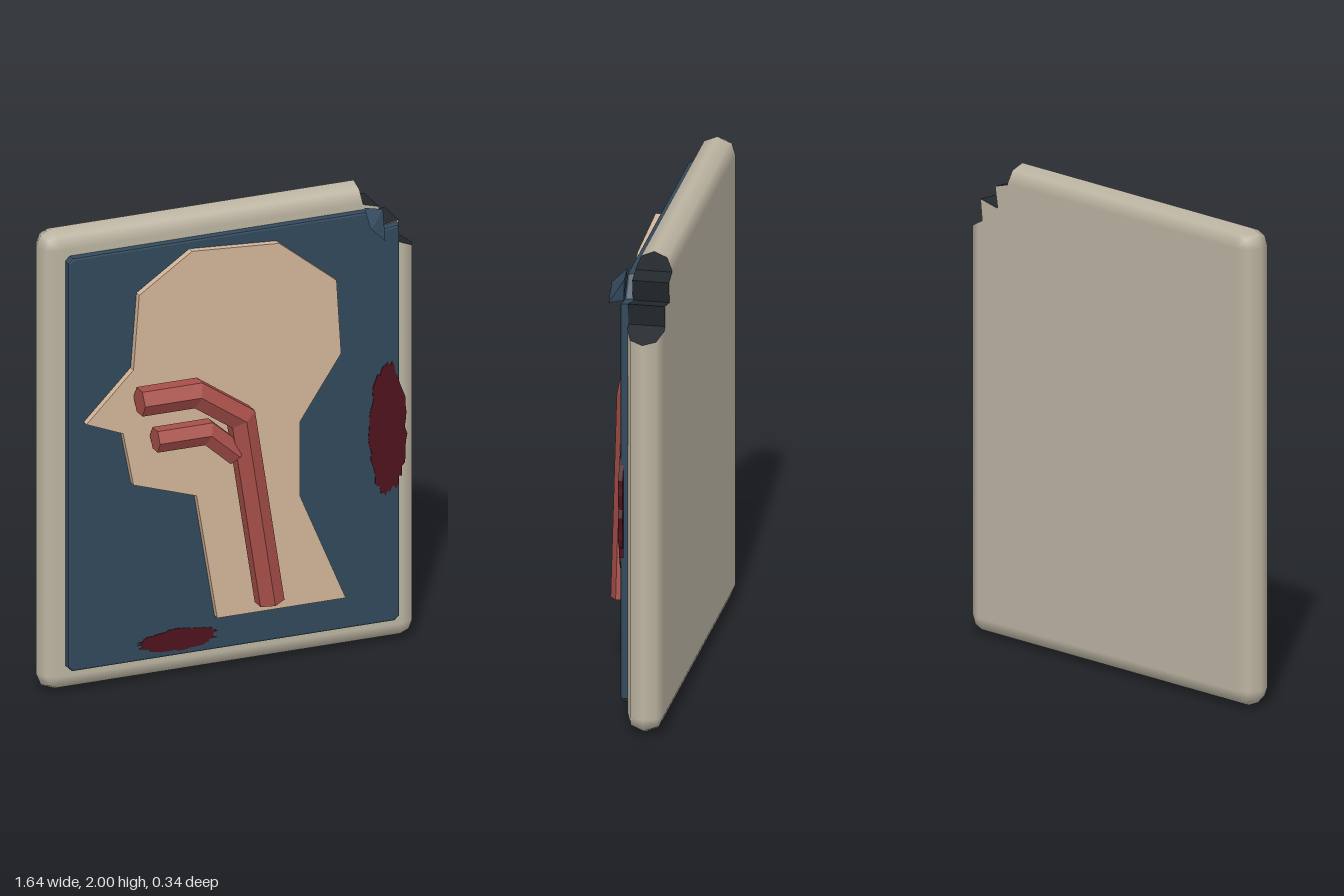
import * as THREE from 'three';
import { ConvexGeometry } from 'three/addons/geometries/ConvexGeometry.js';

const mat = (color, flat = true, extra = {}) =>
  new THREE.MeshStandardMaterial({ color, flatShading: flat, ...extra });
const shapeOf = (pts) => new THREE.Shape(pts.map(([x, y]) => new THREE.Vector2(x, y)));

function add(group, name, geometry, material) {
  const mesh = new THREE.Mesh(geometry, material);
  mesh.name = name;
  group.add(mesh);
  return mesh;
}

// Board constants: half width, height, edge radius, middle z
const W = 0.82, H = 2, R = 0.075, ZC = -0.095;

// Rounded outer edge of the board at bevel angle a, counter-clockwise, with normals
function outerRing(a) {
  const c = Math.cos(a), s = Math.sin(a), d = R * (1 - c), z = ZC + R * s;
  const ring = [{ p: [0.565 + 0.12 * d, H - d, z], n: [0, c, s] }];
  const corners = [[-W + R, H - R, 90], [-W + R, R, 180], [W - R, R, 270]];
  for (const [cx, cy, start] of corners) {
    for (let k = 0; k <= 2; k++) {
      const t = THREE.MathUtils.degToRad(start + k * 45);
      const ux = Math.cos(t), uy = Math.sin(t);
      ring.push({ p: [cx + R * c * ux, cy + R * c * uy, z], n: [c * ux, c * uy, s] });
    }
  }
  ring.push({ p: [W - d, 1.69 + 0.5 * d, z], n: [c, 0, s] });
  return ring;
}

// Zigzag of the broken corner, from the right edge up to the top edge
const breakLine = [[0.72, 1.74], [0.73, 1.83], [0.63, 1.81], [0.645, 1.9], [0.575, 1.92]];

function stitch(rings) {
  const pos = [], nor = [];
  for (let j = 0; j + 1 < rings.length; j++) {
    for (let i = 0; i + 1 < rings[j].length; i++) {
      const A = rings[j][i], B = rings[j][i + 1], C = rings[j + 1][i + 1], D = rings[j + 1][i];
      for (const v of [A, B, C, A, C, D]) {
        pos.push(...v.p);
        nor.push(...v.n);
      }
    }
  }
  const g = new THREE.BufferGeometry();
  g.setAttribute('position', new THREE.Float32BufferAttribute(pos, 3));
  g.setAttribute('normal', new THREE.Float32BufferAttribute(nor, 3));
  return g;
}

function buildBoard() {
  const board = new THREE.Group();
  board.name = 'board';
  const cream = mat(0xbdb5a3, false);
  const rings = [-90, -45, 0, 45, 90].map((deg) => outerRing(THREE.MathUtils.degToRad(deg)));
  add(board, 'roundedEdge', stitch(rings), cream);

  // Front and back faces
  const rim = rings[4].map((v) => [v.p[0], v.p[1]]);
  const face = new THREE.ShapeGeometry(shapeOf([...rim, ...breakLine]));
  add(board, 'frontFace', face, cream).position.z = ZC + R;
  const back = face.clone();
  back.setIndex(Array.from(face.index.array).reverse());
  back.attributes.normal.array.fill(0);
  for (let i = 0; i < back.attributes.normal.count; i++) back.attributes.normal.setZ(i, -1);
  add(board, 'backFace', back, cream).position.z = ZC - R;

  // Dark walls of the broken corner
  const walls = rings.map((r) => {
    const z = r[0].p[2];
    const inner = breakLine.map(([x, y]) => ({ p: [x, y, z], n: [1, 0, 0] }));
    return [r[r.length - 1], ...inner, r[0]];
  });
  const wallGeo = stitch(walls);
  wallGeo.computeVertexNormals();
  add(board, 'brokenEdge', wallGeo, mat(0x23282d, true, { side: THREE.DoubleSide }));
  return board;
}

function extrudeFrom(pts, z0, z1, bevel = 0) {
  const g = new THREE.ExtrudeGeometry(shapeOf(pts), {
    depth: z1 - z0 - 2 * bevel, bevelEnabled: bevel > 0, bevelSize: bevel,
    bevelThickness: bevel, bevelOffset: -bevel, bevelSegments: 2,
  });
  g.translate(0, 0, z0 + bevel);
  return g;
}

// Six-sided tube with mitred bends along a path in the front plane
function hexTube(path, r, z) {
  const pts = path.map(([x, y]) => new THREE.Vector2(x, y));
  const n = pts.length, pos = [], idx = [];
  pts.forEach((p, i) => {
    const d0 = pts[Math.max(i, 1)].clone().sub(pts[Math.max(i, 1) - 1]).normalize();
    const k = Math.min(i, n - 2);
    const d1 = pts[k + 1].clone().sub(pts[k]).normalize();
    const m = d0.clone().add(d1).normalize();
    const scale = 1 / m.dot(d0);
    for (let s = 0; s < 6; s++) {
      const a = s * Math.PI / 3, side = r * Math.sin(a) * scale;
      pos.push(p.x - m.y * side, p.y + m.x * side, z + r * Math.cos(a));
    }
  });
  for (let i = 0; i + 1 < n; i++) {
    for (let s = 0; s < 6; s++) {
      const a = i * 6 + s, b = i * 6 + (s + 1) % 6;
      idx.push(a, a + 6, b, b, a + 6, b + 6);
    }
  }
  const e = (n - 1) * 6;
  for (let s = 1; s < 5; s++) idx.push(0, s, s + 1, e, e + s + 1, e + s);
  const g = new THREE.BufferGeometry();
  g.setAttribute('position', new THREE.Float32BufferAttribute(pos, 3));
  g.setIndex(idx);
  g.computeVertexNormals();
  return g;
}

// Ragged oval stain
function stain(cx, cy, rx, ry, seed) {
  let s = seed;
  const rnd = () => (s = (s * 16807) % 2147483647) / 2147483647;
  const pts = [];
  for (let i = 0; i < 56; i++) {
    const a = i / 56 * Math.PI * 2, k = 0.84 + 0.16 * rnd();
    pts.push([cx + rx * k * Math.cos(a), cy + ry * k * Math.sin(a)]);
  }
  return extrudeFrom(pts, 0, 0.018);
}

export function createModel() {
  const model = new THREE.Group();
  model.name = 'anatomyPlaque';
  model.add(buildBoard());

  // Blue panel with the same broken corner
  const blue = mat(0x32495c);
  const panel = [
    [-0.705, 0.105], [0.7, 0.105], [0.72, 0.125], [0.72, 1.825], [0.635, 1.815], [0.6, 1.86],
    [0.575, 1.9], [-0.705, 1.9], [-0.725, 1.88], [-0.725, 0.125],
  ];
  add(model, 'panel', extrudeFrom(panel, -0.025, 0.015, 0.01), blue);

  // Splinter peeling away from the break
  const splinter = [
    [0.565, 1.92, 0.015], [0.648, 1.9, 0.012], [0.642, 1.81, 0.015],
    [0.565, 1.855, 0.08], [0.63, 1.79, 0.08], [0.585, 1.86, 0.07],
  ].map((p) => new THREE.Vector3(...p));
  add(model, 'splinter', new ConvexGeometry(splinter), blue);

  // Head and neck in profile
  const head = [
    [-0.2, 1.865], [-0.43, 1.71], [-0.455, 1.39], [-0.66, 1.185], [-0.5, 1.12], [-0.455, 0.89],
    [-0.18, 0.8], [-0.09, 0.255], [0.47, 0.255], [0.27, 0.73], [0.27, 1.05], [0.45, 1.32],
    [0.43, 1.64], [0.18, 1.84],
  ];
  add(model, 'headProfile', extrudeFrom(head, 0.02, 0.05), mat(0xd3b69a));

  // Airways
  const red = mat(0xa8504a);
  add(model, 'nasalAirway',
    hexTube([[-0.455, 1.275], [-0.21, 1.275], [-0.013, 1.14], [0.112, 0.322]], 0.061, 0.112), red);
  add(model, 'oralAirway',
    hexTube([[-0.385, 1.097], [-0.16, 1.097], [-0.035, 0.985]], 0.053, 0.107), red);

  // Stains
  const stainRed = mat(0x4d121d);
  add(model, 'sideStain', stain(0.667, 0.945, 0.088, 0.3, 71), stainRed);
  add(model, 'lowerStain', stain(-0.248, 0.175, 0.182, 0.05, 913), stainRed);
  return model;
}
